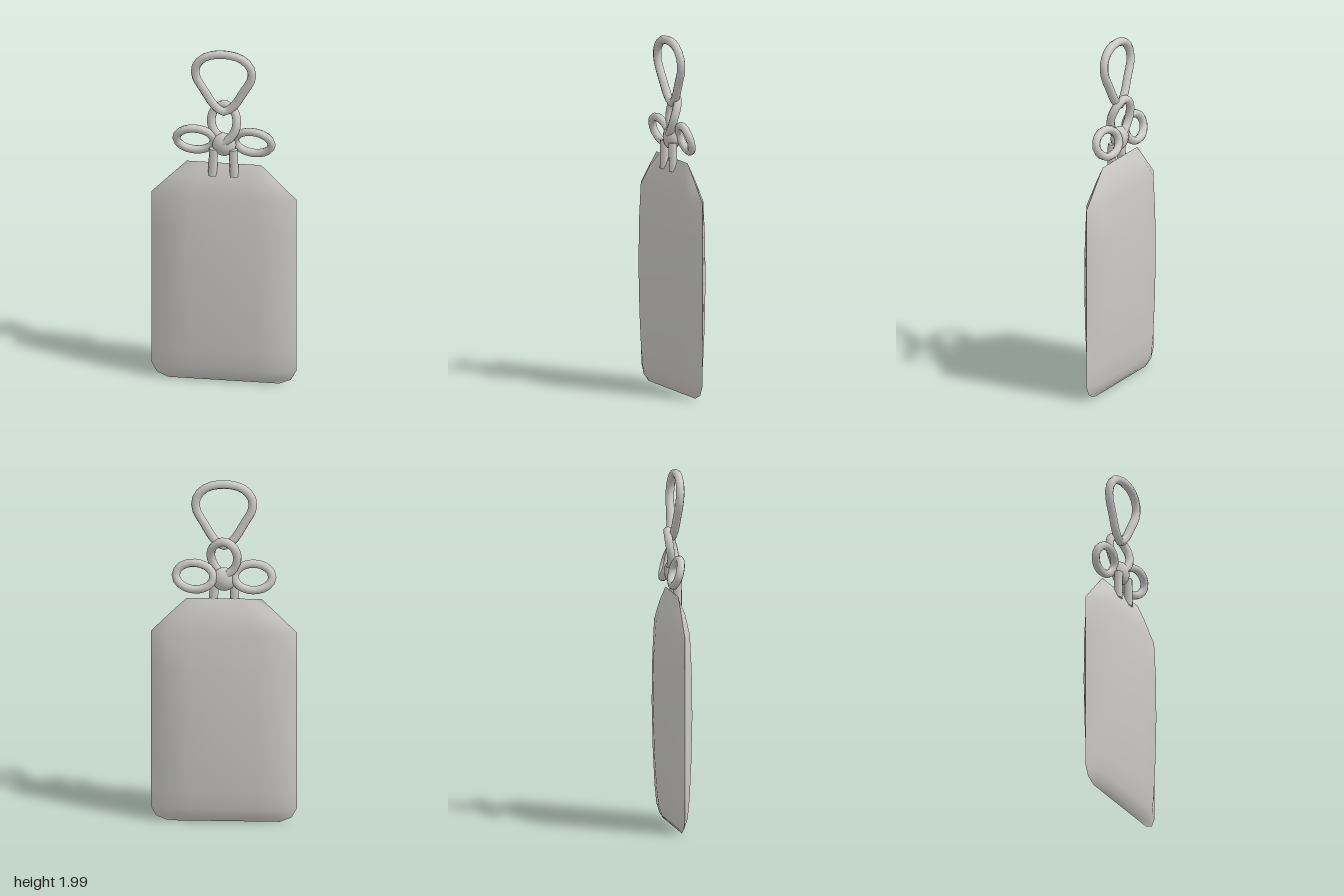
import * as THREE from 'three';

const V = (x, y, z) => new THREE.Vector3(x, y, z);

// One pillow shell: rows of [y, half width, half depth] swept by a bulging cross-section
function pillowShell(side) {
  const rows = [[0.008, 0.31, 0], [0.035, 0.375, 0.024], [0.09, 0.405, 0.043], [0.2, 0.405, 0.057],
    [0.4, 0.405, 0.07], [0.66, 0.405, 0.078], [0.92, 0.405, 0.073], [1.12, 0.405, 0.059],
    [1.23, 0.295, 0.041], [1.315, 0.208, 0]];
  const columns = [[-1, 0], [-0.79, 0.74], [-0.47, 0.95], [0, 1], [0.47, 0.95], [0.79, 0.74], [1, 0]];
  const positions = [], index = [], n = columns.length;
  rows.forEach(([y, w, d]) => columns.forEach(([u, c]) => positions.push(u * w, y, side * d * c)));
  for (let r = 0; r < rows.length - 1; r++) {
    for (let c = 0; c < n - 1; c++) {
      const a = r * n + c, b = a + 1, e = a + n, f = e + 1;
      if (side > 0) index.push(a, b, f, a, f, e);
      else index.push(a, f, b, a, e, f);
    }
  }
  const g = new THREE.BufferGeometry();
  g.setAttribute('position', new THREE.Float32BufferAttribute(positions, 3));
  g.setIndex(index);
  g.computeVertexNormals();
  return g;
}

export function createModel() {
  const model = new THREE.Group();
  const grey = new THREE.MeshStandardMaterial({ color: 0xcccbc8 });
  grey.name = 'paleGrey';
  const add = (name, geometry, parent = model) => {
    const mesh = new THREE.Mesh(geometry, grey);
    mesh.name = name;
    parent.add(mesh);
    return mesh;
  };
  const cord = (name, points, closed, segments, radius) => add(name, new THREE.TubeGeometry(
    new THREE.CatmullRomCurve3(points, closed), segments, radius, 8, closed));

  // Padded pouch, two shells meeting along a sharp rim
  const pouch = new THREE.Group();
  pouch.name = 'pouch';
  model.add(pouch);
  add('pouchFront', pillowShell(1), pouch);
  add('pouchBack', pillowShell(-1), pouch);

  // Teardrop hanging loop
  cord('hangingLoop', [V(0, 1.622, 0), V(0.05, 1.655, 0.003), V(0.11, 1.75, 0.01), V(0.156, 1.835, 0.015),
    V(0.152, 1.9, 0.02), V(0.1, 1.955, 0.023), V(0, 1.976, 0.024), V(-0.1, 1.955, 0.023),
    V(-0.152, 1.9, 0.02), V(-0.156, 1.835, 0.015), V(-0.11, 1.75, 0.01), V(-0.05, 1.655, 0.003)],
  true, 28, 0.024);

  // Small upright loop, its right strand crossing in front
  cord('uprightLoop', [V(0.0, 1.44, 0.022), V(0.045, 1.485, 0.026), V(0.073, 1.55, 0.02),
    V(0.06, 1.62, -0.005), V(0, 1.657, -0.025), V(-0.058, 1.62, -0.03), V(-0.075, 1.555, -0.022),
    V(-0.055, 1.495, -0.014), V(-0.005, 1.45, -0.012)], false, 22, 0.024);

  // Bow loops, leaning so the upper strand sits further forward
  for (const s of [1, -1]) {
    const points = [];
    for (let i = 0; i < 12; i++) {
      const a = i / 12 * Math.PI * 2;
      const yaw = s > 0 ? 0.014 * Math.cos(a) : 0;
      points.push(V(s * (0.163 + 0.105 * Math.cos(a)), 1.446 + 0.071 * Math.sin(a),
        -0.006 + 0.02 * Math.sin(a) + yaw));
    }
    cord(s > 0 ? 'leftBowLoop' : 'rightBowLoop', points, true, 20, 0.023);
  }

  // Knot
  const knot = add('knot', new THREE.SphereGeometry(0.067, 14, 10));
  knot.position.set(0, 1.428, 0.002);
  knot.scale.z = 0.68;

  // Hanging cord ends
  for (const s of [1, -1]) {
    const end = add(s > 0 ? 'leftCordEnd' : 'rightCordEnd', new THREE.CylinderGeometry(0.025, 0.025, 0.16, 8));
    end.position.set(s * 0.058, 1.327, 0.021);
    end.rotation.z = s * 0.04;
  }
  return model;
}
